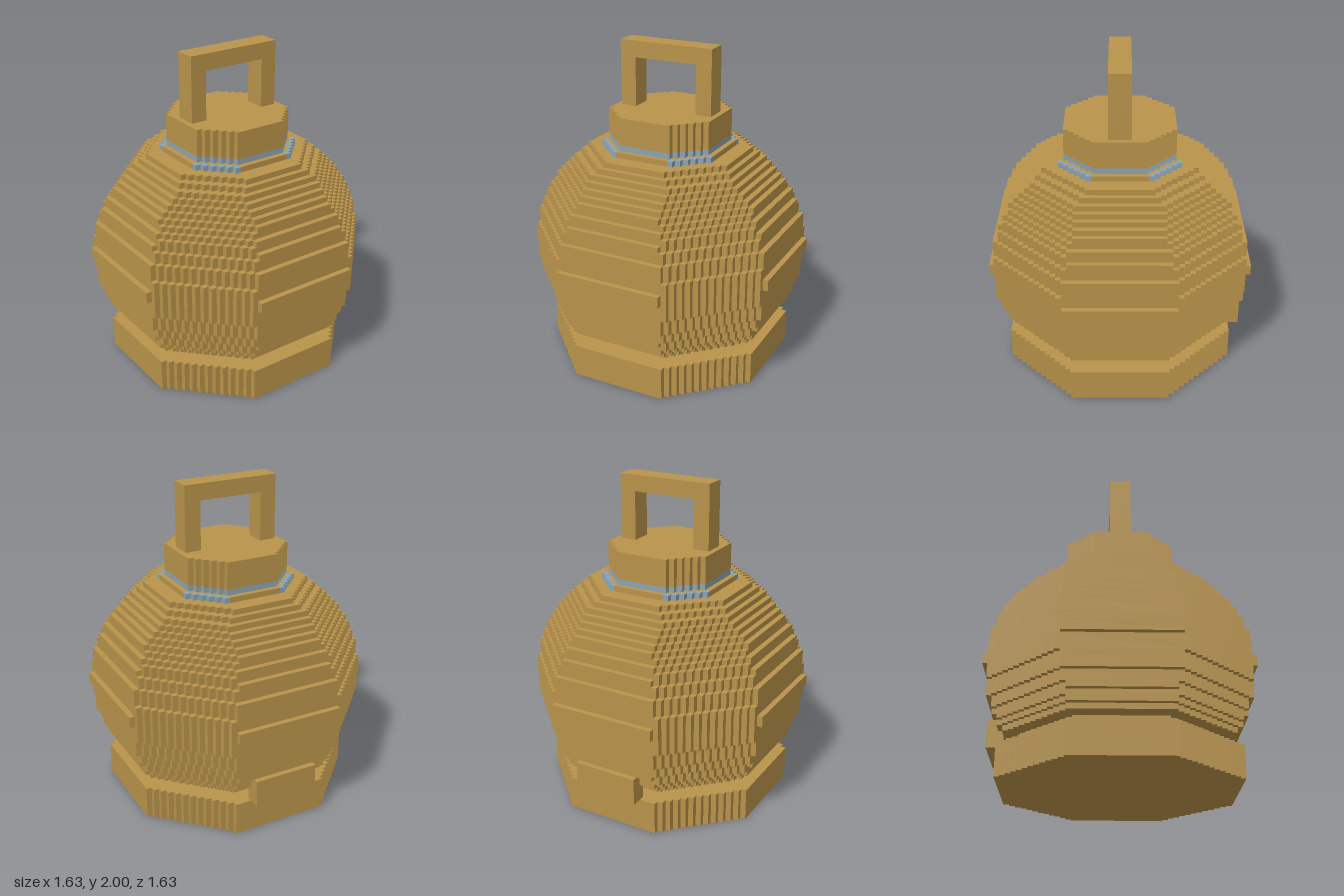
import * as THREE from 'three';

const U = 2 / 59; // size of one voxel

const brass = new THREE.MeshStandardMaterial({ color: 0xb8934a });
brass.name = 'brass';
const blue = new THREE.MeshStandardMaterial({ color: 0x8ba3b3 });
blue.name = 'steelBlue';

// Octagonal slab with stair-stepped diagonals: half width R, diagonal limit S (in voxels)
function slab(name, R, S, y0, y1, material) {
  const quarter = [];
  const f = S - R + 1;
  for (let x = R, h = f; h <= R; x--, h++) {
    quarter.push([x, h]);
    if (h < R) quarter.push([x - 1, h]);
  }
  const points = [];
  for (let q = 0; q < 4; q++) {
    for (const [x, y] of quarter) {
      const [a, b] = [[x, y], [-y, x], [-x, -y], [y, -x]][q];
      points.push(new THREE.Vector2(a * U, b * U));
    }
  }
  const geometry = new THREE.ExtrudeGeometry(new THREE.Shape(points), {
    depth: (y1 - y0) * U, bevelEnabled: false,
  });
  geometry.rotateX(-Math.PI / 2);
  const mesh = new THREE.Mesh(geometry, material);
  mesh.name = name;
  mesh.position.y = y0 * U;
  return mesh;
}

// Box given by its voxel limits
function block(name, x0, x1, y0, y1, z0, z1, material) {
  const mesh = new THREE.Mesh(
    new THREE.BoxGeometry((x1 - x0) * U, (y1 - y0) * U, (z1 - z0) * U), material);
  mesh.position.set((x0 + x1) / 2 * U, (y0 + y1) / 2 * U, (z0 + z1) / 2 * U);
  mesh.name = name;
  return mesh;
}

export function createModel() {
  const model = new THREE.Group();
  model.name = 'octagonalBomb';

  // Foot and the recess above it
  model.add(slab('base', 21, 29, 0, 6, brass));
  model.add(slab('recess', 17, 24, 6, 8, brass));

  // Round body: equal neighbouring layers become one slab
  const body = new THREE.Group();
  body.name = 'body';
  const layer = (y) => {
    const r = Math.sqrt(553.4 - (y - 20.1) ** 2);
    return [Math.floor(r + 0.5), Math.floor(r * Math.SQRT2 + 0.03)];
  };
  let start = 8;
  for (let y = 9; y <= 40; y++) {
    const [R, S] = layer(start);
    const [nextR, nextS] = layer(y);
    if (y === 40 || R !== nextR || S !== nextS) {
      body.add(slab('bodyLayer', R, S, start, y, brass));
      start = y;
    }
  }
  model.add(body);

  // Collar with blue steps on its diagonals and a blue ring above
  model.add(slab('collar', 11, 15, 40, 41, brass));
  const steps = new THREE.Group();
  steps.name = 'collarSteps';
  for (const sx of [-1, 1]) {
    for (const sz of [-1, 1]) {
      for (let i = 5; i <= 10; i++) {
        const x = sx * (i + 0.5), z = sz * (15.5 - i);
        steps.add(block('collarStep', x - 0.5, x + 0.5, 40, 41, z - 0.5, z + 0.5, blue));
      }
    }
  }
  model.add(steps);
  model.add(slab('collarRing', 10, 14, 41, 42, blue));

  // Neck
  model.add(slab('neck', 10, 14, 42, 47, brass));

  // Handle
  const handle = new THREE.Group();
  handle.name = 'handle';
  handle.add(block('leftPost', 6, 9, 47, 56, -2, 2, brass));
  handle.add(block('rightPost', -9, -6, 47, 56, -2, 2, brass));
  handle.add(block('grip', -9, 9, 56, 59, -2, 2, brass));
  model.add(handle);

  // Small plate low on the back
  model.add(block('backPlate', -6, 6, 6, 11, -23, -20, brass));

  return model;
}
